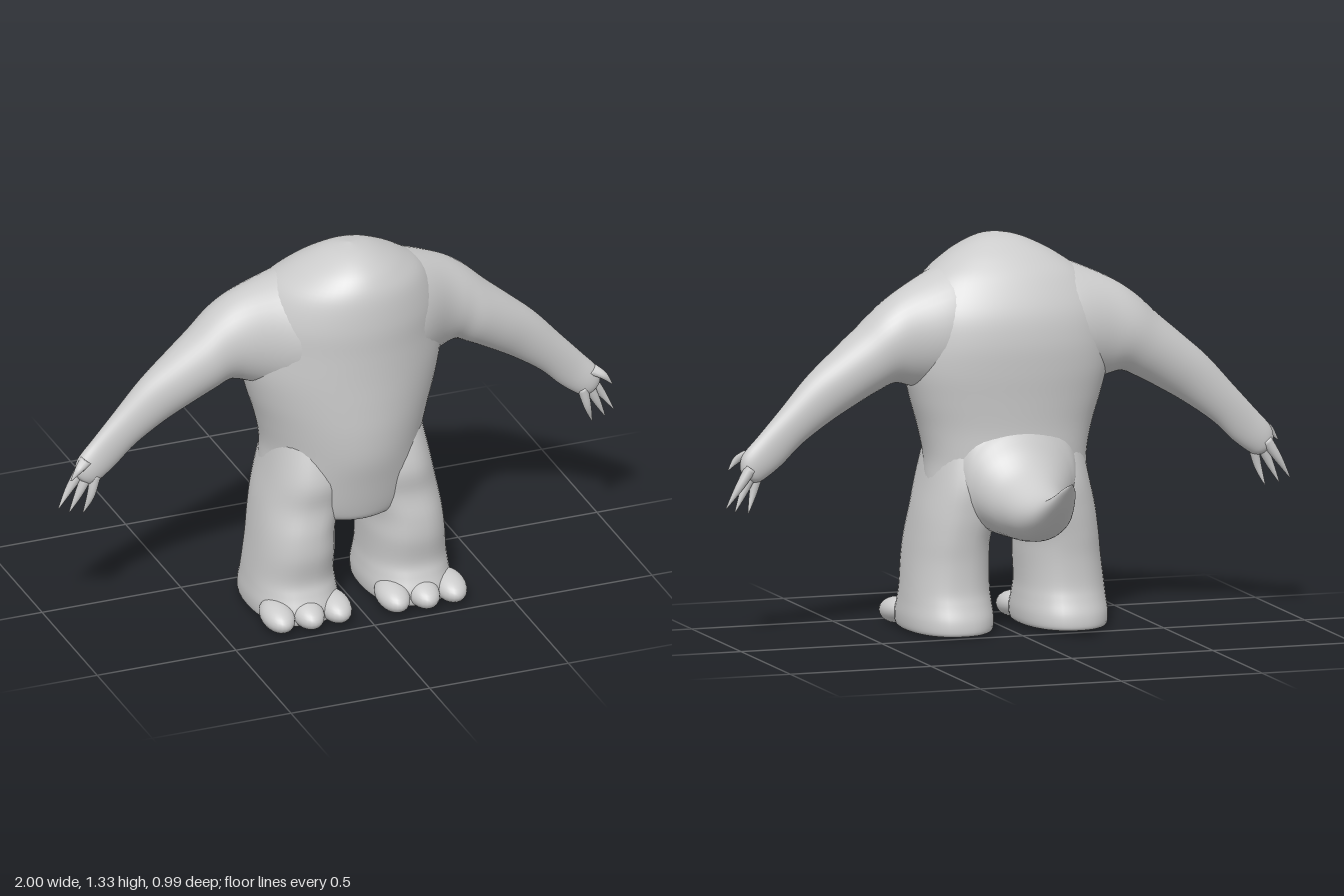
import * as THREE from 'three';

const grey = new THREE.MeshStandardMaterial({ color: 0xcccccc, roughness: 0.8 });

// Catmull-Rom value between b and c
const spline = (a, b, c, d, t) =>
  b + 0.5 * t * (c - a + t * (2 * a - 5 * b + 4 * c - d + t * (3 * (b - c) + d - a)));

// Smooth skin through oval sections, each [centre xyz, half axis u xyz, half axis v xyz].
// power < 1 squares the ovals off; skew moves their widest point along v.
function loft(sections, { power = 1, skew = 0, sides = 40, steps = 5, mirror = 1 } = {}) {
  const n = sections.length, rings = [];
  for (let i = 0; i < n - 1; i++) {
    const [a, b, c, d] = [i - 1, i, i + 1, i + 2].map(k => sections[Math.min(n - 1, Math.max(0, k))]);
    for (let s = 0; s < steps; s++) rings.push(b.map((_, k) => spline(a[k], b[k], c[k], d[k], s / steps)));
  }
  rings.push(sections[n - 1]);

  const pos = [], index = [];
  const bend = v => Math.sign(v) * Math.abs(v) ** power;
  for (const r of rings) {
    for (let j = 0; j < sides; j++) {
      const t = (j / sides) * Math.PI * 2, cu = bend(Math.cos(t));
      const cv = bend(Math.sin(t)) + skew * cu * cu;
      for (let k = 0; k < 3; k++) pos.push((r[k] + r[3 + k] * cu + r[6 + k] * cv) * (k ? 1 : mirror));
    }
  }
  for (let i = 0; i < rings.length - 1; i++) {
    for (let j = 0; j < sides; j++) {
      const a = i * sides + j, b = i * sides + (j + 1) % sides;
      index.push(a, b, b + sides, a, b + sides, a + sides);
    }
  }
  // end caps
  const centre = rings.length * sides, last = centre - sides;
  for (const r of [rings[0], rings[rings.length - 1]]) pos.push(r[0] * mirror, r[1], r[2]);
  for (let j = 0; j < sides; j++) {
    const k = (j + 1) % sides;
    index.push(centre, k, j, centre + 1, last + j, last + k);
  }
  // turn the skin outward if its signed volume is negative
  const p = i => new THREE.Vector3().fromArray(pos, index[i] * 3);
  let volume = 0;
  for (let i = 0; i < index.length; i += 3) volume += p(i).dot(p(i + 1).cross(p(i + 2)));
  if (volume < 0) index.reverse();

  const g = new THREE.BufferGeometry();
  g.setAttribute('position', new THREE.Float32BufferAttribute(pos, 3));
  g.setIndex(index);
  g.computeVertexNormals();
  return g;
}

// Level section for the torso and legs
const level = ([y, x0, x1, z0, z1]) =>
  [(x0 + x1) / 2, y, (z0 + z1) / 2, (x1 - x0) / 2, 0, 0, 0, 0, (z1 - z0) / 2];
// Upright section across the tail
const upright = ([z, y0, y1, w]) => [0, (y0 + y1) / 2, z, w, 0, 0, 0, (y1 - y0) / 2, 0];
// Tilted section across the arm, from its upper edge to its lower edge
const tilted = ([tx, ty, bx, by, z0, z1]) =>
  [(tx + bx) / 2, (ty + by) / 2, (z0 + z1) / 2, (tx - bx) / 2, (ty - by) / 2, 0, 0, 0, (z1 - z0) / 2];
// Round section for the fingers
const round = ([x, y, z, r]) => [x, y, z, r * 0.8, r * 0.6, 0, 0, 0, r];

// y, half width, back z, front z
const TORSO = [
  [0.345, 0.16, 0.10, 0.36], [0.36, 0.22, 0.06, 0.395], [0.40, 0.27, 0.03, 0.413],
  [0.50, 0.283, 0.01, 0.44], [0.60, 0.28, 0.0, 0.465], [0.70, 0.30, 0.0, 0.475],
  [0.80, 0.33, -0.007, 0.476], [0.90, 0.352, -0.016, 0.475], [1.0, 0.35, -0.018, 0.476],
  [1.1, 0.335, 0.0, 0.478], [1.2, 0.28, 0.05, 0.466], [1.26, 0.205, 0.10, 0.44],
  [1.30, 0.135, 0.15, 0.40], [1.327, 0.07, 0.20, 0.345], [1.34, 0.002, 0.268, 0.272],
];
// upper edge x y, lower edge x y, back z, front z
const ARM = [
  [0.05, 1.30, 0.05, 0.85, 0.08, 0.42], [0.2, 1.252, 0.2, 0.82, 0.03, 0.41],
  [0.36, 1.183, 0.33, 0.845, 0.045, 0.312], [0.45, 1.125, 0.40, 0.862, 0.052, 0.282],
  [0.53, 1.052, 0.46, 0.838, 0.065, 0.272], [0.62, 0.975, 0.54, 0.795, 0.082, 0.252],
  [0.71, 0.895, 0.63, 0.742, 0.10, 0.228], [0.80, 0.795, 0.73, 0.672, 0.115, 0.208],
  [0.88, 0.707, 0.80, 0.605, 0.125, 0.198], [0.935, 0.645, 0.86, 0.56, 0.13, 0.198],
  [0.945, 0.60, 0.885, 0.55, 0.137, 0.19], [0.935, 0.575, 0.905, 0.55, 0.15, 0.175],
];
// root, middle and tip as x y z radius
const FINGERS = [
  [[0.91, 0.645, 0.175, 0.022], [0.945, 0.625, 0.196, 0.014], [0.975, 0.59, 0.20, 0.002]],
  [[0.915, 0.60, 0.148, 0.021], [0.958, 0.535, 0.145, 0.014], [1.0, 0.468, 0.15, 0.002]],
  [[0.90, 0.59, 0.165, 0.021], [0.933, 0.52, 0.165, 0.014], [0.965, 0.453, 0.16, 0.002]],
  [[0.878, 0.585, 0.175, 0.021], [0.896, 0.51, 0.178, 0.014], [0.917, 0.445, 0.165, 0.002]],
];
// y, inner x, outer x, back z, front z
const LEG = [
  [0.01, 0.08, 0.33, 0.012, 0.42], [0.02, 0.056, 0.35, -0.003, 0.44], [0.06, 0.05, 0.355, 0.0, 0.44],
  [0.11, 0.055, 0.35, 0.018, 0.42], [0.16, 0.06, 0.345, 0.03, 0.408], [0.25, 0.06, 0.335, 0.032, 0.422],
  [0.33, 0.058, 0.325, 0.025, 0.42], [0.42, 0.03, 0.31, 0.015, 0.408], [0.52, 0.02, 0.287, 0.012, 0.415],
  [0.65, 0.03, 0.26, 0.04, 0.38],
];
// z, lower y, upper y, half width
const TAIL = [
  [0.2, 0.36, 0.82, 0.24], [0.1, 0.34, 0.79, 0.23], [0.03, 0.335, 0.745, 0.20],
  [0.0, 0.336, 0.69, 0.175], [-0.04, 0.337, 0.622, 0.148], [-0.1, 0.341, 0.566, 0.12],
  [-0.2, 0.36, 0.523, 0.092], [-0.3, 0.405, 0.518, 0.07], [-0.4, 0.482, 0.55, 0.045],
  [-0.46, 0.545, 0.58, 0.026], [-0.5, 0.592, 0.597, 0.003],
];

export function createModel() {
  const model = new THREE.Group();
  model.name = 'tailedCreature';
  const add = (parent, name, geometry) => {
    const mesh = new THREE.Mesh(geometry, grey);
    mesh.name = name;
    parent.add(mesh);
    return mesh;
  };

  add(model, 'torso', loft(TORSO.map(([y, w, z0, z1]) => level([y, -w, w, z0, z1])), { sides: 64, skew: -0.22 }));
  add(model, 'tail', loft(TAIL.map(upright)));

  for (const [side, mirror] of [['left', 1], ['right', -1]]) {
    // arm with a thumb and three pointed fingers
    const arm = new THREE.Group();
    arm.name = side + 'Arm';
    add(arm, side + 'ArmSkin', loft(ARM.map(tilted), { mirror }));
    FINGERS.forEach((f, i) =>
      add(arm, side + (i ? 'Finger' + i : 'Thumb'), loft(f.map(round), { sides: 12, mirror })));

    // leg with a flat sole and three rounded toes
    const leg = new THREE.Group();
    leg.name = side + 'Leg';
    add(leg, side + 'LegSkin', loft(LEG.map(level), { power: 0.87, mirror }));
    [[0.105, 0.395], [0.208, 0.405], [0.31, 0.395]].forEach(([x, z], i) => {
      const toe = add(leg, side + 'Toe' + (i + 1), new THREE.SphereGeometry(1, 24, 16));
      toe.scale.set(0.055, 0.045, 0.09);
      toe.position.set(x * mirror, 0.052, z);
      toe.rotation.x = 0.12;
    });
    model.add(arm, leg);
  }
  return model;
}
